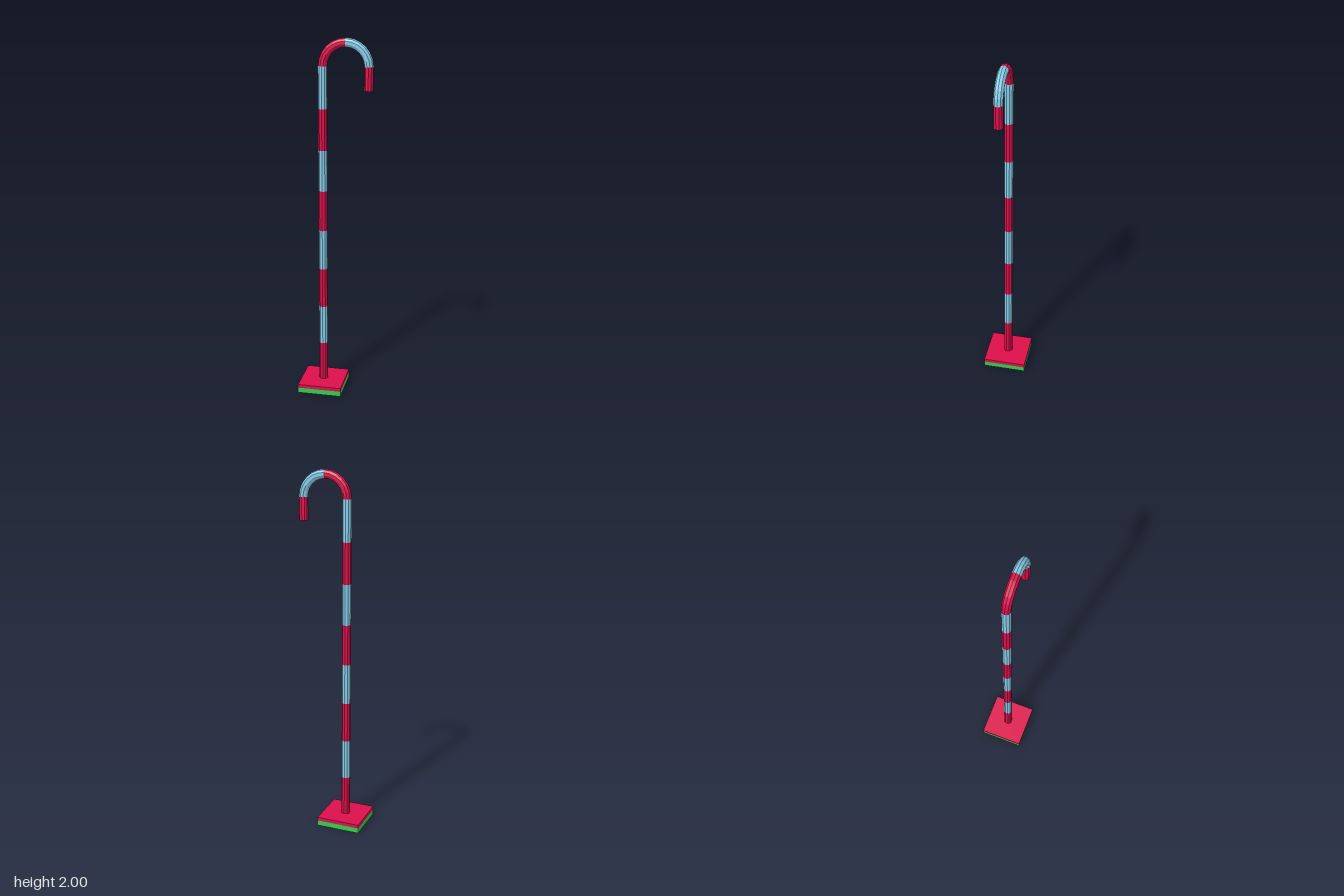
import * as THREE from 'three';

const RED = 0xdc0f4b, BLUE = 0x87ceeb, GREEN = 0x32cd50;
const R = 0.0248;            // tube radius
const BEND = 0.124;          // radius of the hook
const POLE_X = -0.076, FOOT = 0.05, SHOULDER = 1.8515;
const SIDES = 10;

export function createModel() {
  const group = new THREE.Group();
  const materials = {};
  const add = (name, geometry, color, x, y) => {
    materials[color] ??= new THREE.MeshStandardMaterial({ color, flatShading: true });
    const mesh = new THREE.Mesh(geometry, materials[color]);
    mesh.name = name;
    mesh.position.set(x, y, 0);
    group.add(mesh);
    return mesh;
  };
  const tube = (name, color, x, bottom, height) =>
    add(name, new THREE.CylinderGeometry(R, R, height, SIDES), color, x, bottom + height / 2);

  // Square two-layer base
  add('baseBottom', new THREE.BoxGeometry(0.248, 0.03, 0.248), GREEN, POLE_X, 0.015);
  add('baseTop', new THREE.BoxGeometry(0.248, 0.02, 0.248), RED, POLE_X, 0.04);

  // Striped pole
  const stripes = 8, step = (SHOULDER - FOOT) / stripes;
  for (let i = 0; i < stripes; i++) {
    tube(`poleStripe${i + 1}`, i % 2 ? BLUE : RED, POLE_X, FOOT + i * step, step);
  }

  // Hook: two quarter bends and a straight tip
  const centre = POLE_X + BEND;
  const quarter = () => new THREE.TorusGeometry(BEND, R, SIDES, 6, Math.PI / 2);
  add('hookInnerBend', quarter(), RED, centre, SHOULDER).rotation.z = Math.PI / 2;
  add('hookOuterBend', quarter(), BLUE, centre, SHOULDER);
  tube('hookTip', RED, centre + BEND, SHOULDER - 0.124, 0.124);

  return group;
}
